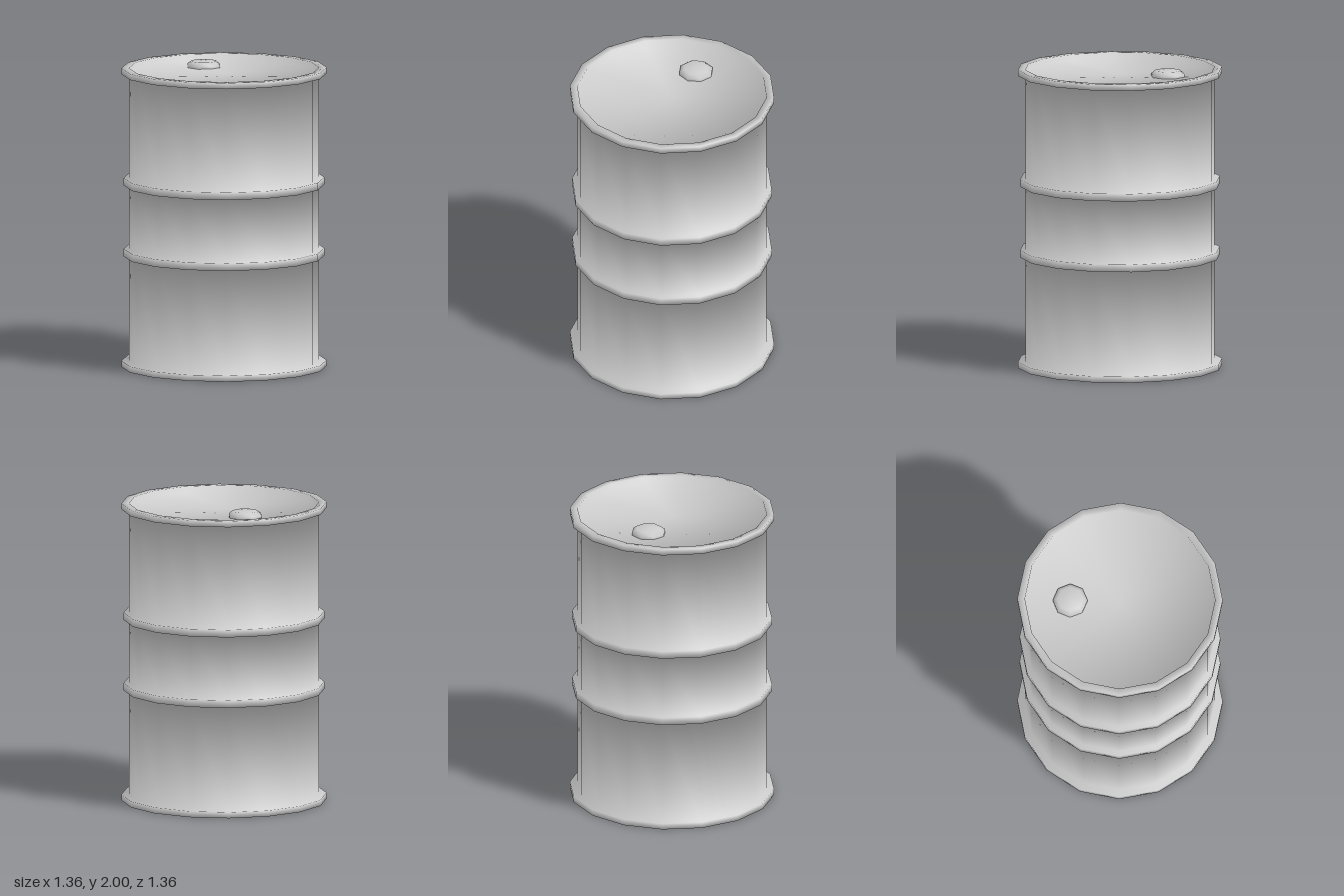
import * as THREE from 'three';

const material = new THREE.MeshStandardMaterial({ color: 0xcccccc });

// Revolves [radius, y] points; each corner's normal is the even mean of its two sides.
function revolve(name, profile, sides) {
  const points = profile.map(([r, y]) => new THREE.Vector2(r, y));
  const geometry = new THREE.LatheGeometry(points, sides);
  const edges = points.slice(1).map((p, i) =>
    new THREE.Vector2(p.y - points[i].y, points[i].x - p.x).normalize());
  const normals = points.map((p, j) => {
    const a = edges[Math.max(j - 1, 0)];
    const b = edges[Math.min(j, edges.length - 1)];
    return a.clone().add(b).normalize();
  });
  for (let i = 0; i <= sides; i++) {
    const phi = (i / sides) * Math.PI * 2;
    normals.forEach((n, j) => geometry.attributes.normal.setXYZ(
      i * points.length + j, n.x * Math.sin(phi), n.y, n.x * Math.cos(phi)));
  }
  const mesh = new THREE.Mesh(geometry, material);
  mesh.name = name;
  return mesh;
}

export function createModel() {
  const group = new THREE.Group();
  group.name = 'barrel';

  const body = 0.63, rim = 0.68, hoop = 0.665, lip = 0.04;

  // Square hoop standing out from the wall between two heights
  const band = (y0, y1) => [[body, y0], [hoop, y0], [hoop, y1], [body, y1]];

  // Drum: recessed base, bottom rim, wall with two hoops, top rim, recessed lid
  group.add(revolve('drum', [
    [0, lip], [body, lip], [body, 0], [rim, 0], [rim, lip], [body, lip],
    ...band(0.74, 0.79),
    ...band(1.215, 1.265),
    [body, 2 - lip], [rim, 2 - lip], [rim, 2], [body, 2], [body, 2 - lip], [0, 2 - lip],
  ], 16));

  // Filler cap near the back of the lid
  const cap = revolve('fillerCap', [
    [0.115, 0], [0.115, 0.018], [0.085, 0.04], [0, 0.04],
  ], 8);
  cap.position.set(0, 2 - lip, -0.33);
  group.add(cap);

  return group;
}
